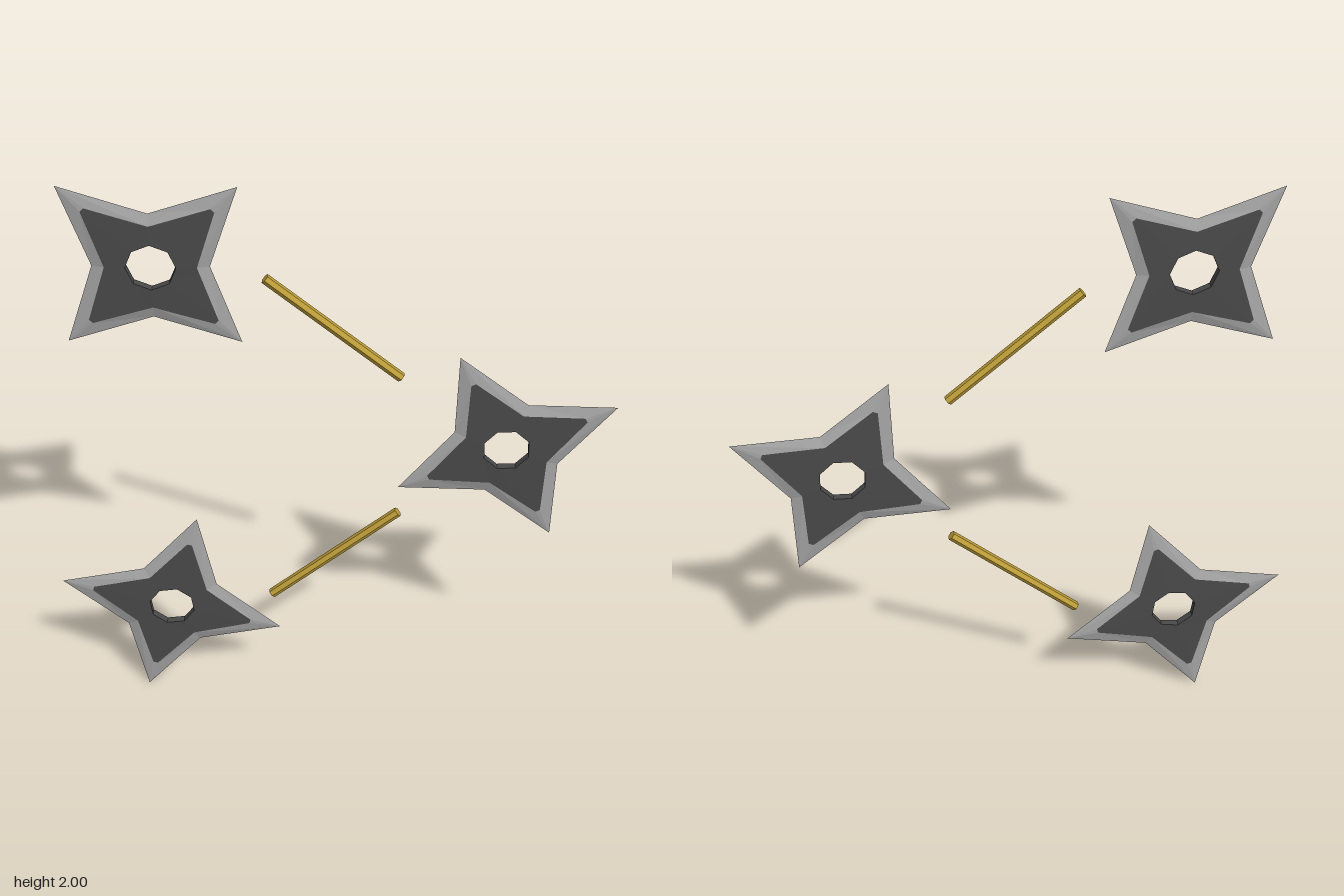
import * as THREE from 'three';

const steel = new THREE.MeshStandardMaterial({ color: 0xa6a6a6 });
steel.name = 'ground steel';
const iron = new THREE.MeshStandardMaterial({ color: 0x4a4a4b });
iron.name = 'dark iron';
const gold = new THREE.MeshStandardMaterial({ color: 0xbf9f3a });
gold.name = 'gold';

// Ring of 12 points: for each quarter a notch, then the two corners of a tip
function ring(notchR, notchZ, tipR, tipZ, blunt) {
  const points = [];
  for (let i = 0; i < 4; i++) {
    const a = i * Math.PI / 2;
    const add = (angle, r, z) =>
      points.push(new THREE.Vector3(Math.cos(angle) * r, Math.sin(angle) * r, z));
    add(a, notchR, notchZ);
    add(a + Math.PI / 4 - blunt, tipR, tipZ);
    add(a + Math.PI / 4 + blunt, tipR, tipZ);
  }
  return points;
}

const flip = (points) => points.map((p) => new THREE.Vector3(p.x, p.y, -p.z));

// Flat-shaded bands between consecutive rings, skipping collapsed triangles
function bands(...pairs) {
  const pos = [];
  const area = new THREE.Triangle();
  const tri = (a, b, c) => {
    if (area.set(a, b, c).getArea() > 1e-9) {
      for (const p of [a, b, c]) pos.push(p.x, p.y, p.z);
    }
  };
  for (const [inner, outer] of pairs) {
    for (let i = 0; i < inner.length; i++) {
      const j = (i + 1) % inner.length;
      tri(inner[i], outer[i], outer[j]);
      tri(inner[i], outer[j], inner[j]);
    }
  }
  const geometry = new THREE.BufferGeometry();
  geometry.setAttribute('position', new THREE.Float32BufferAttribute(pos, 3));
  geometry.computeVertexNormals();
  return geometry;
}

// Cross-sections: octagonal hole, edge of the dark body, sharp outline
const hole = ring(0.078, 0.013, 0.078, 0.013, 0);
const body = ring(0.142, 0.011, 0.277, 0.008, 0.03);
const edge = ring(0.181, 0, 0.385, 0, 0);

const bodyGeometry = bands([hole, body], [flip(body), flip(hole)], [flip(hole), hole]);
const bladeGeometry = bands([body, edge], [edge, flip(body)]);

function mesh(name, geometry, material) {
  const m = new THREE.Mesh(geometry, material);
  m.name = name;
  return m;
}

function throwingStar(name, x, y, degrees) {
  const star = new THREE.Group();
  star.name = name;
  star.add(mesh('starBody', bodyGeometry, iron), mesh('starBlade', bladeGeometry, steel));
  star.position.set(x, y, 0);
  star.rotation.z = THREE.MathUtils.degToRad(degrees);
  return star;
}

// Hexagonal rod between two points
function rod(name, x0, y0, x1, y1) {
  const dx = x1 - x0, dy = y1 - y0;
  const geometry = new THREE.CylinderGeometry(0.0165, 0.0165, Math.hypot(dx, dy), 6).toNonIndexed();
  geometry.computeVertexNormals();
  const m = mesh(name, geometry, gold);
  m.position.set((x0 + x1) / 2, (y0 + y1) / 2, -0.004);
  m.rotation.z = Math.atan2(dy, dx) - Math.PI / 2;
  return m;
}

export function createModel() {
  const model = new THREE.Group();
  model.name = 'throwingStars';
  model.add(
    throwingStar('upperStar', -0.55, 1.728, 0),
    throwingStar('middleStar', 0.57, 1.053, -20),
    throwingStar('lowerStar', -0.55, 0.375, 30),
    rod('upperRod', -0.203, 1.684, 0.223, 1.324),
    rod('lowerRod', -0.203, 0.424, 0.223, 0.784),
  );
  return model;
}
